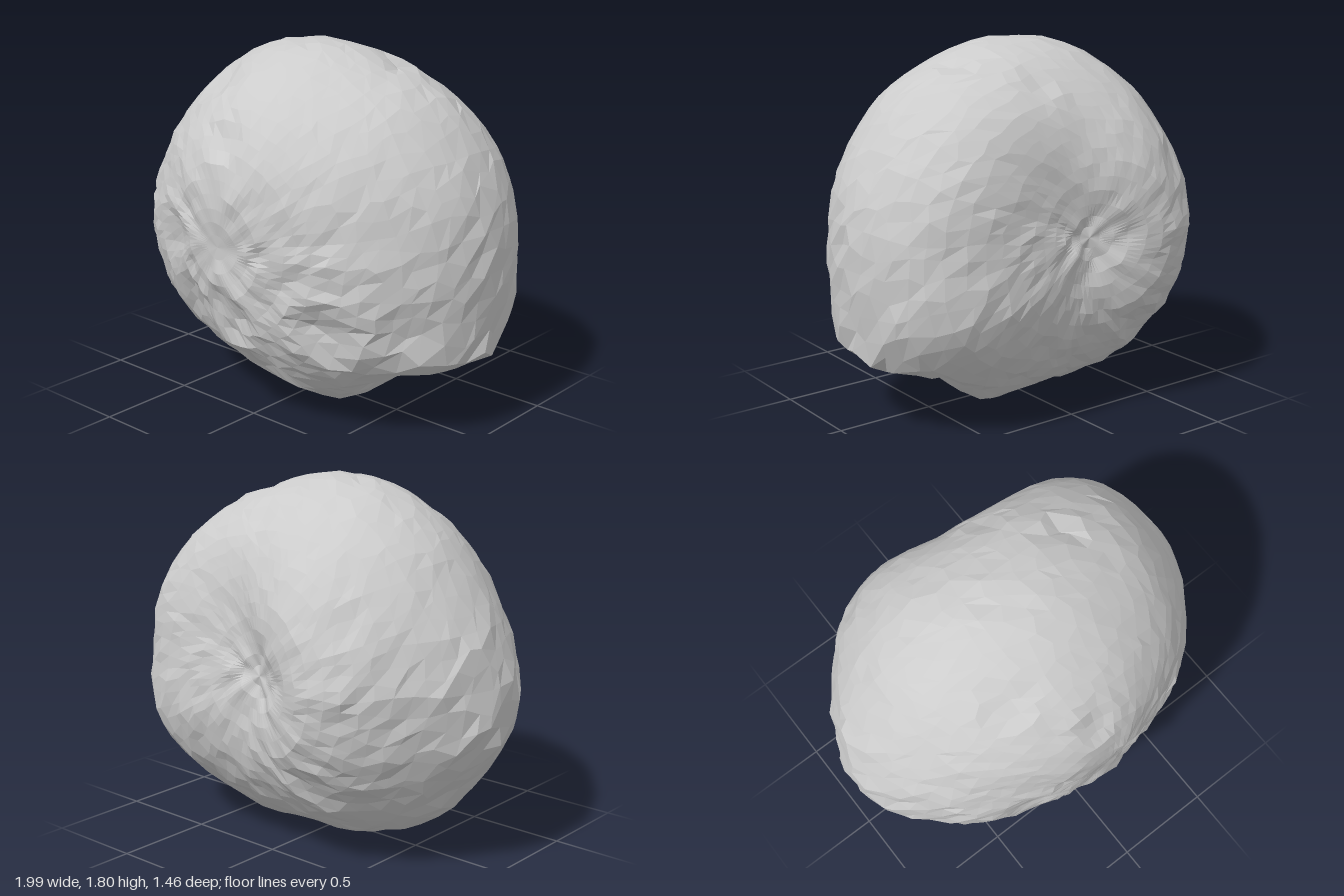
import * as THREE from 'three';
import { mergeVertices } from 'three/addons/utils/BufferGeometryUtils.js';

// Radii measured from the core; each ring circles the z axis from +x towards +y.
const FRONT_POLE = 0.7, BACK_POLE = 0.58;
const RINGS = [
  [0.75, 0.77, 0.79, 0.79, 0.78, 0.75, 0.74, 0.73, 0.72, 0.76, 0.76, 0.75],
  [0.88, 0.87, 0.85, 0.84, 0.82, 0.82, 0.85, 0.85, 0.8, 0.8, 0.87, 0.92],
  [1.0, 0.985, 0.96, 0.945, 0.905, 0.895, 0.89, 0.89, 0.88, 0.875, 0.87, 0.91,
    0.96, 0.99, 0.955, 0.955, 0.92, 0.89, 0.88, 0.925, 0.93, 0.94, 1.09, 1.03],
  [0.99, 0.95, 0.87, 0.83, 0.85, 0.86, 0.89, 0.9, 0.87, 0.82, 0.88, 1.02],
  [0.73, 0.69, 0.67, 0.71, 0.78, 0.82, 0.84, 0.82, 0.77, 0.72, 0.72, 0.75],
];

// Craters: direction from the core, radius, depth
const CRATERS = [
  [0.58, -0.66, -0.02, 0.32, 0.07], [0.03, -0.66, 0.45, 0.18, 0.06],
  [0.5, -0.33, 0.52, 0.15, 0.05], [0.02, -0.32, 0.64, 0.15, 0.04],
  [-0.35, -0.05, 0.63, 0.16, 0.025], [-0.27, -0.36, 0.6, 0.15, 0.02],
  [-0.8, -0.3, 0.3, 0.16, 0.04], [-0.3, 0.7, 0.36, 0.11, 0.025],
  [0.0, 0.48, 0.6, 0.11, 0.025], [0.8, -0.3, 0.33, 0.13, 0.03],
  [0.4, 0.78, -0.13, 0.1, 0.03], [0.15, 0.72, -0.42, 0.1, 0.02],
  [-0.5, 0.3, -0.6, 0.1, 0.02], [-0.3, -0.45, -0.55, 0.12, 0.025],
].map(([x, y, z, radius, depth]) => ({ dir: new THREE.Vector3(x, y, z).normalize(), radius, depth }));

// Catmull-Rom interpolation through a list of values
function spline(values, t, closed) {
  const n = values.length, i = Math.floor(t), f = t - i;
  const at = (k) => values[closed ? (k + n) % n : Math.min(Math.max(k, 0), n - 1)];
  const [a, b, c, d] = [at(i - 1), at(i), at(i + 1), at(i + 2)];
  return b + 0.5 * f * (c - a + f * (2 * a - 5 * b + 4 * c - d + f * (3 * (b - c) + d - a)));
}

// Repeatable lumpiness from overlapping waves, calmer towards the top
function roughness(d) {
  const wave = (k, s) => Math.sin(d.x * k + s) * Math.sin(d.y * k * 1.1 + 2 * s) * Math.sin(d.z * k * 0.9 + 3 * s);
  const calm = 1 - 0.6 * THREE.MathUtils.smoothstep(d.y, 0, 0.6);
  return calm * (0.006 * wave(9, 1) + 0.012 * wave(17, 2.3) + 0.01 * wave(29, 0.7));
}

function surfaceRadius(d) {
  const theta = Math.acos(THREE.MathUtils.clamp(d.z, -1, 1));
  const turn = (Math.atan2(d.y, d.x) / (2 * Math.PI) + 1) % 1;
  const meridian = [FRONT_POLE, ...RINGS.map((ring) => spline(ring, turn * ring.length, true)), BACK_POLE];
  let r = spline(meridian, (theta / Math.PI) * 6, false) + roughness(d);
  // smooth bowl with a low raised rim
  for (const { dir, radius, depth } of CRATERS) {
    const q = (d.angleTo(dir) * r) / radius;
    if (q < 1) r -= depth * (1 - q * q);
    else if (q < 1.5) r += depth * 0.2 * Math.sin((q - 1) * 2 * Math.PI);
  }
  return r;
}

export function createModel() {
  const group = new THREE.Group();
  group.name = 'asteroid';

  // Sphere with its poles on the z axis, pushed out to the rock's surface
  let geometry = new THREE.SphereGeometry(1, 64, 36).rotateX(Math.PI / 2);
  geometry.deleteAttribute('uv');
  geometry.deleteAttribute('normal');
  geometry = mergeVertices(geometry, 1e-4);
  const pos = geometry.attributes.position, d = new THREE.Vector3();
  for (let i = 0; i < pos.count; i++) {
    d.fromBufferAttribute(pos, i);
    // shift points sideways so the facets are uneven, less so near the poles
    const shift = 0.025 * (d.x * d.x + d.y * d.y);
    d.x += shift * Math.sin(i * i * 12.9898);
    d.y += shift * Math.sin(i * i * 78.233);
    d.z += shift * Math.sin(i * i * 37.719);
    d.normalize();
    d.multiplyScalar(surfaceRadius(d));
    pos.setXYZ(i, d.x, d.y, d.z);
  }

  // Stand it on the ground
  geometry.center();
  geometry.computeBoundingBox();
  geometry.translate(0, -geometry.boundingBox.min.y, 0);
  geometry.computeVertexNormals();

  const rock = new THREE.Mesh(geometry, new THREE.MeshStandardMaterial({ color: 0xcccccc, flatShading: true }));
  rock.name = 'rock';
  group.add(rock);
  return group;
}
